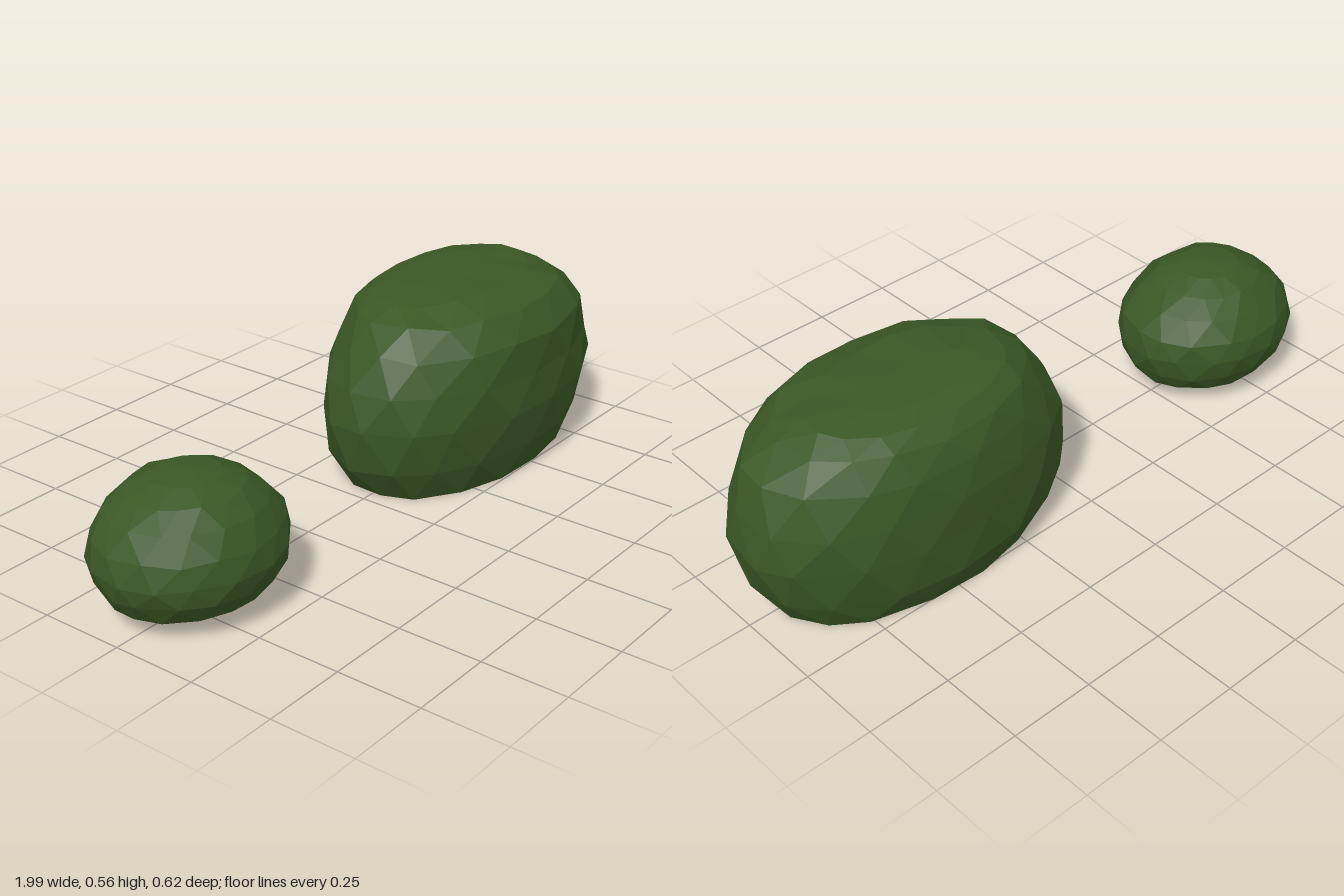
import * as THREE from 'three';

const SIDES = 16;

// Small seeded generator, returns -1..1
function seeded(seed) {
  let s = seed;
  return () => {
    s = (s * 16807) % 2147483647;
    return (s / 2147483647) * 2 - 1;
  };
}

// Faceted shell, open underneath: rings of [y, xMin, xMax, zMin, zMax] plus an apex [x, y, z]
function shell(rings, apex, power, seed) {
  const rand = seeded(seed);
  const pos = [];
  const index = [];
  const bend = (v) => Math.sign(v) * Math.abs(v) ** power;
  rings.forEach(([y, x0, x1, z0, z1], k) => {
    const inner = k > 0 && k < rings.length - 1;
    for (let j = 0; j < SIDES; j++) {
      // alternate rings are staggered by half a step, with slight irregularity
      const a = ((j + (k % 2 ? 0.25 : -0.25) + rand() * 0.14) / SIDES) * Math.PI * 2;
      const r = 1 + rand() * 0.012;
      pos.push(
        (x0 + x1) / 2 + ((x1 - x0) / 2) * bend(Math.cos(a)) * r,
        y + (inner ? rand() * 0.008 : 0),
        (z0 + z1) / 2 + ((z1 - z0) / 2) * bend(Math.sin(a)) * r
      );
    }
  });
  pos.push(...apex);
  const top = rings.length * SIDES;
  for (let k = 0; k < rings.length; k++) {
    for (let j = 0; j < SIDES; j++) {
      const n = (j + 1) % SIDES;
      const l0 = k * SIDES + j, l1 = k * SIDES + n;
      const u0 = l0 + SIDES, u1 = l1 + SIDES;
      if (k === rings.length - 1) index.push(l0, top, l1);
      else if (k % 2) index.push(l0, u0, u1, l0, u1, l1);
      else index.push(l0, u0, l1, l1, u0, u1);
    }
  }
  const geo = new THREE.BufferGeometry();
  geo.setAttribute('position', new THREE.Float32BufferAttribute(pos, 3));
  geo.setIndex(index);
  geo.computeVertexNormals();
  return geo;
}

export function createModel() {
  const group = new THREE.Group();
  const leaf = new THREE.MeshStandardMaterial({ color: 0x3a5725, flatShading: true, side: THREE.DoubleSide });
  leaf.name = 'leaf green';

  // Long, flat-topped bush
  const large = new THREE.Mesh(shell([
    [0.004, 0.04, 0.91, -0.26, 0.25],
    [0.10, -0.02, 0.965, -0.298, 0.285],
    [0.23, -0.05, 1.0, -0.308, 0.308],
    [0.34, -0.03, 0.975, -0.305, 0.303],
    [0.44, 0.03, 0.93, -0.29, 0.298],
    [0.515, 0.095, 0.845, -0.26, 0.24],
    [0.55, 0.17, 0.77, -0.215, 0.15],
    [0.565, 0.27, 0.64, -0.15, 0.0],
  ], [0.46, 0.566, -0.07], 0.95, 11), leaf);
  large.name = 'largeBush';

  // Small domed bush
  const small = new THREE.Mesh(shell([
    [0.065, -0.95, -0.475, -0.205, 0.19],
    [0.12, -0.987, -0.442, -0.24, 0.225],
    [0.18, -1.0, -0.43, -0.255, 0.238],
    [0.24, -0.982, -0.442, -0.246, 0.228],
    [0.30, -0.94, -0.49, -0.208, 0.19],
    [0.348, -0.88, -0.555, -0.158, 0.14],
    [0.377, -0.81, -0.62, -0.095, 0.08],
  ], [-0.71, 0.388, -0.01], 1, 29), leaf);
  small.name = 'smallBush';

  group.add(large, small);
  return group;
}
